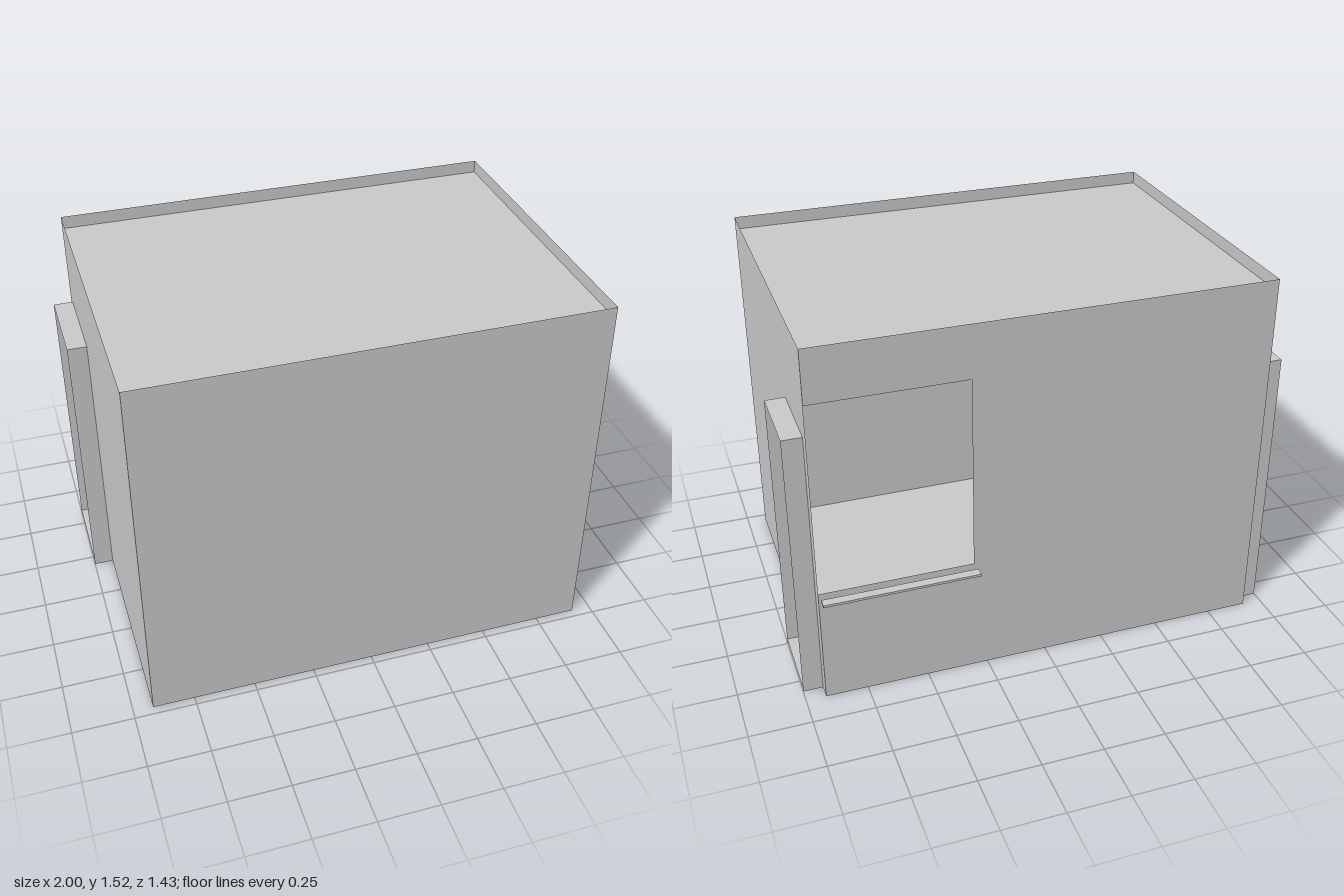
import * as THREE from 'three';

const W = 0.92, FRONT = 0.715, BACK = -0.622, TOP = 1.52;
const ROOF = 1.467, FLOOR = 0.02, DOOR_TOP = 1.145, DEPTH = 0.08;
const mat = new THREE.MeshStandardMaterial({ color: 0xcccccc, side: THREE.DoubleSide, flatShading: true });

// Flat sheet from an outline in its own plane
function sheet(name, points) {
  const shape = new THREE.Shape(points.map(([a, b]) => new THREE.Vector2(a, b)));
  const mesh = new THREE.Mesh(new THREE.ShapeGeometry(shape), mat);
  mesh.name = name;
  return mesh;
}

const rect = (a0, a1, b0, b1) => [[a0, b0], [a1, b0], [a1, b1], [a0, b1]];

// Sheet facing z: outline in (x, y)
function sheetZ(name, z, points) {
  const m = sheet(name, points);
  m.position.z = z;
  return m;
}

// Sheet facing x: outline in (z, y)
function sheetX(name, x, points) {
  const m = sheet(name, points.map(([z, y]) => [-z, y]));
  m.rotation.y = Math.PI / 2;
  m.position.x = x;
  return m;
}

// Horizontal sheet: outline in (x, z)
function sheetY(name, y, points) {
  const m = sheet(name, points.map(([x, z]) => [x, -z]));
  m.rotation.x = -Math.PI / 2;
  m.position.y = y;
  return m;
}

export function createModel() {
  const room = new THREE.Group();
  room.name = 'room';

  // Front wall, and back wall with a window notch reaching the corner
  room.add(sheetZ('frontWall', FRONT, rect(-W, W, 0, TOP)));
  room.add(sheetZ('backWall', BACK, [
    [-W, 0], [W, 0], [W, 0.495], [0.304, 0.495], [0.304, 1.3], [W, 1.3], [W, TOP], [-W, TOP],
  ]));

  // Floor, and roof sunk behind the parapet
  room.add(sheetY('floor', FLOOR, rect(-W, W, BACK, FRONT)));
  room.add(sheetY('roof', ROOF, rect(-W, W, BACK, FRONT)));

  // Side walls with doorways and their projecting reveals
  const doors = [
    { side: 1, name: 'left', z0: -0.565, z1: -0.245 },
    { side: -1, name: 'right', z0: -0.573, z1: -0.2 },
  ];
  for (const { side, name, z0, z1 } of doors) {
    const x = side * W, xo = side * (W + DEPTH);
    room.add(sheetX(name + 'Wall', x, [
      [BACK, 0], [z0, 0], [z0, DOOR_TOP], [z1, DOOR_TOP], [z1, 0],
      [FRONT, 0], [FRONT, TOP], [BACK, TOP],
    ]));
    const frame = new THREE.Group();
    frame.name = name + 'DoorFrame';
    for (const z of [z0, z1]) frame.add(sheetZ('jamb', z, rect(x, xo, 0, DOOR_TOP)));
    frame.add(sheetY('lintel', DOOR_TOP, rect(x, xo, z0, z1)));
    frame.add(sheetY('threshold', FLOOR, rect(x, xo, z0, z1)));
    room.add(frame);

    // Skirting on either side of the doorway
    for (const [a, b] of [[BACK, z0], [z1, FRONT]]) {
      room.add(sheetX('skirting', x - side * 0.005, rect(a, b, FLOOR, 0.068)));
    }
  }

  // Skirting along the front and back walls
  for (const z of [FRONT - 0.005, BACK + 0.005]) {
    room.add(sheetZ('skirting', z, rect(-W, W, FLOOR, 0.068)));
  }

  // Narrow ledge outside the window
  const ledge = new THREE.Mesh(new THREE.BoxGeometry(W - 0.304, 0.01, 0.037), mat);
  ledge.name = 'windowLedge';
  ledge.position.set((W + 0.304) / 2, 0.505, -0.699);
  room.add(ledge);

  return room;
}
